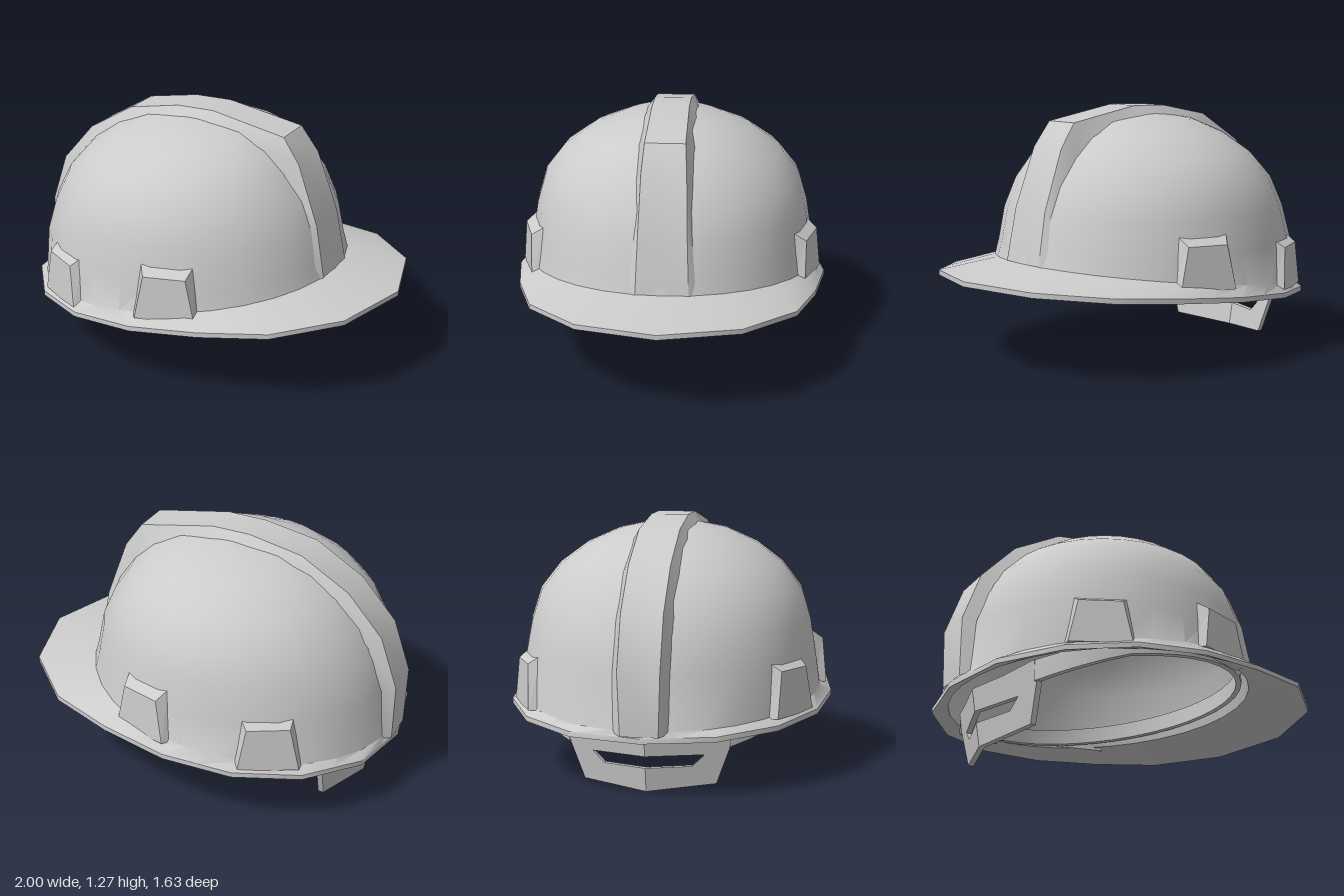
import * as THREE from 'three';
import { toCreasedNormals } from 'three/addons/utils/BufferGeometryUtils.js';

const SIDES = 32;
const material = new THREE.MeshStandardMaterial({ color: 0xcccccc });
const doubleSided = new THREE.MeshStandardMaterial({ color: 0xcccccc, side: THREE.DoubleSide });

// Skin a list of equally long point rows into a surface.
function loft(rows, crease = 0.6) {
  const n = rows[0].length;
  const index = [];
  for (let j = 0; j < rows.length - 1; j++) {
    for (let i = 0; i < n - 1; i++) {
      const a = j * n + i, c = a + n;
      index.push(a, c, a + 1, a + 1, c, c + 1);
    }
  }
  const geometry = new THREE.BufferGeometry();
  geometry.setAttribute('position', new THREE.Float32BufferAttribute(rows.flat(2), 3));
  geometry.setIndex(index);
  return toCreasedNormals(geometry, crease);
}

function addMesh(parent, name, geometry, mat = material) {
  const mesh = new THREE.Mesh(geometry, mat);
  mesh.name = name;
  parent.add(mesh);
  return mesh;
}

const steps = (count, fn) => Array.from({ length: count + 1 }, (_, i) => fn(i));

// Height where the dome meets the brim, and of the brim's top edge
const joinY = x => 0.32 + 0.12 * (x + 0.97);
const edgeY = x => 0.295 + 0.0865 * (x + 1);

// Dome levels: height (null = follows the brim), back x, front x, half width
const LEVELS = [
  [null, -0.97, 0.655, 0.76], [0.58, -0.95, 0.635, 0.738], [0.75, -0.895, 0.6, 0.71],
  [0.9, -0.815, 0.53, 0.665], [1.03, -0.7, 0.44, 0.565], [1.13, -0.56, 0.335, 0.43],
  [1.2, -0.4, 0.2, 0.27], [1.235, -0.2, 0.0, 0.1], [1.24, -0.1, -0.1, 0],
];
// Brim outline from front to back, one side
const OUTLINE = [
  [1, 0], [0.885, 0.395], [0.61, 0.655], [0.28, 0.757], [-0.07, 0.813],
  [-0.42, 0.77], [-0.72, 0.61], [-0.93, 0.345], [-1, 0],
];

function domeRing([y, back, front, half], inset, drop) {
  const cx = (back + front) / 2;
  const rx = Math.max((front - back) / 2 - inset, 0), rz = Math.max(half - inset, 0);
  return steps(SIDES, i => {
    const t = (i / SIDES) * Math.PI * 2;
    const x = cx + rx * Math.cos(t);
    return [x, (y ?? joinY(x)) - drop, rz * Math.sin(t)];
  });
}

function brimRing(drop) {
  return steps(SIDES, i => {
    const k = (i <= SIDES / 2 ? i : SIDES - i) / 2;
    const a = OUTLINE[Math.floor(k)], b = OUTLINE[Math.ceil(k)];
    const x = (a[0] + b[0]) / 2, z = (a[1] + b[1]) / 2;
    return [x, edgeY(x) - drop, i <= SIDES / 2 ? z : -z];
  });
}

// Raised ridge: outer x, y, inner x, y, half width on top, half width at base
const RIDGE = [
  [-0.993, 0.3, -0.955, 0.31, 0.09, 0.13], [-1, 0.6, -0.94, 0.58, 0.1, 0.135],
  [-0.91, 0.86, -0.855, 0.81, 0.1, 0.135], [-0.73, 1.065, -0.685, 1.025, 0.1, 0.135],
  [-0.48, 1.215, -0.45, 1.16, 0.1, 0.135], [-0.2, 1.27, -0.2, 1.218, 0.095, 0.135],
  [0, 1.275, 0, 1.218, 0.095, 0.135], [0.4, 1.205, 0.27, 1.145, 0.1, 0.14],
  [0.49, 1.08, 0.425, 1.015, 0.11, 0.14], [0.6, 0.78, 0.585, 0.745, 0.12, 0.145],
  [0.65, 0.515, 0.63, 0.5, 0.13, 0.165],
];

// Trapezoid accessory socket that leans against the dome at angle t
function socketGeometry(bottom, top) {
  const depth = 0.065;
  const geometry = new THREE.BoxGeometry(2, 1, 1).toNonIndexed();
  const p = geometry.attributes.position;
  for (let i = 0; i < p.count; i++) {
    const upper = p.getY(i) > 0, outer = p.getZ(i) > 0;
    const half = (upper ? 0.105 : 0.15) + (outer ? 0 : 0.025);
    p.setXYZ(i, p.getX(i) * half,
      upper ? top - (outer ? 0.045 : 0) : bottom,
      (outer ? 0 : -depth) - (upper ? 0.012 : 0));
  }
  geometry.computeVertexNormals();
  return geometry;
}

// Headband ellipse and its lower and upper edges
const BAND = { cx: -0.15, rx: 0.73, rz: 0.69, gap: 0.6 };
const bandLow = x => 0.34 + (x + 0.4) * (x < -0.4 ? 0.35 : 0.17);
const bandHigh = x => 0.428 + (x + 0.35) * (x < -0.35 ? 0.26 : 0.18);

function bandRow(inset, heightAt) {
  const end = Math.PI - BAND.gap;
  return steps(SIDES, i => {
    const t = -end + (2 * end * i) / SIDES;
    const x = BAND.cx + BAND.rx * Math.cos(t);
    return [x - inset * Math.cos(t), heightAt(x), (BAND.rz - inset) * Math.sin(t)];
  });
}

// Half of the slotted nape strap, bent to meet the end of the headband
function strapGeometry() {
  const shape = new THREE.Shape([
    [0, 0.003], [0.32, 0.03], [0.39, 0.222], [0.39, 0.323], [0.2, 0.3], [0, 0.29],
    [0, 0.178], [0.27, 0.178], [0.21, 0.122], [0, 0.12],
  ].map(([x, y]) => new THREE.Vector2(x, y)));
  const geometry = new THREE.ExtrudeGeometry(shape, { depth: 0.028, bevelEnabled: false });
  const p = geometry.attributes.position;
  for (let i = 0; i < p.count; i++) {
    const across = p.getX(i), y = p.getY(i);
    const x = -0.88 + 0.33 * across + (0.29 - y) * 0.18 + p.getZ(i);
    p.setXYZ(i, x, y, -across);
  }
  geometry.computeVertexNormals();
  return geometry;
}

export function createModel() {
  const helmet = new THREE.Group();
  helmet.name = 'hardHat';

  // Shell: inside of the dome, underside and edge of the brim, outside of the dome
  addMesh(helmet, 'shellAndBrim', loft([
    ...LEVELS.map(l => domeRing(l, 0.035, 0.03)).reverse(),
    brimRing(0.025), brimRing(0),
    ...LEVELS.map(l => domeRing(l, 0, 0)),
  ]));

  // Ridge over the crown from nape to brow
  const ridgeRows = RIDGE.map(([ox, oy, ix, iy, top, base]) =>
    [[ix, iy, -base], [ox, oy, -top], [ox, oy, top], [ix, iy, base]]);
  addMesh(helmet, 'crownRidge', loft(ridgeRows, 0.5), doubleSided);

  // Two accessory sockets on each side
  for (const side of [1, -1]) {
    for (const [name, t, bottom, top] of [['frontSocket', 1.27, 0.415, 0.68], ['rearSocket', 2.09, 0.345, 0.61]]) {
      const socket = addMesh(helmet, name, socketGeometry(bottom, top));
      const c = Math.cos(t), s = Math.sin(t) * side;
      socket.position.set(-0.157 + 0.833 * c, 0, 0.78 * s);
      socket.rotation.y = Math.atan2(c / 0.813, s / 0.76);
    }
  }

  // Headband inside the shell
  addMesh(helmet, 'headband', loft([
    bandRow(0, bandLow), bandRow(0, bandHigh), bandRow(0.028, bandHigh),
    bandRow(0.028, bandLow), bandRow(0, bandLow),
  ]), doubleSided);

  // Nape strap, mirrored halves
  const strap = strapGeometry();
  for (const side of [1, -1]) addMesh(helmet, 'napeStrap', strap).scale.z = side;

  return helmet;
}
